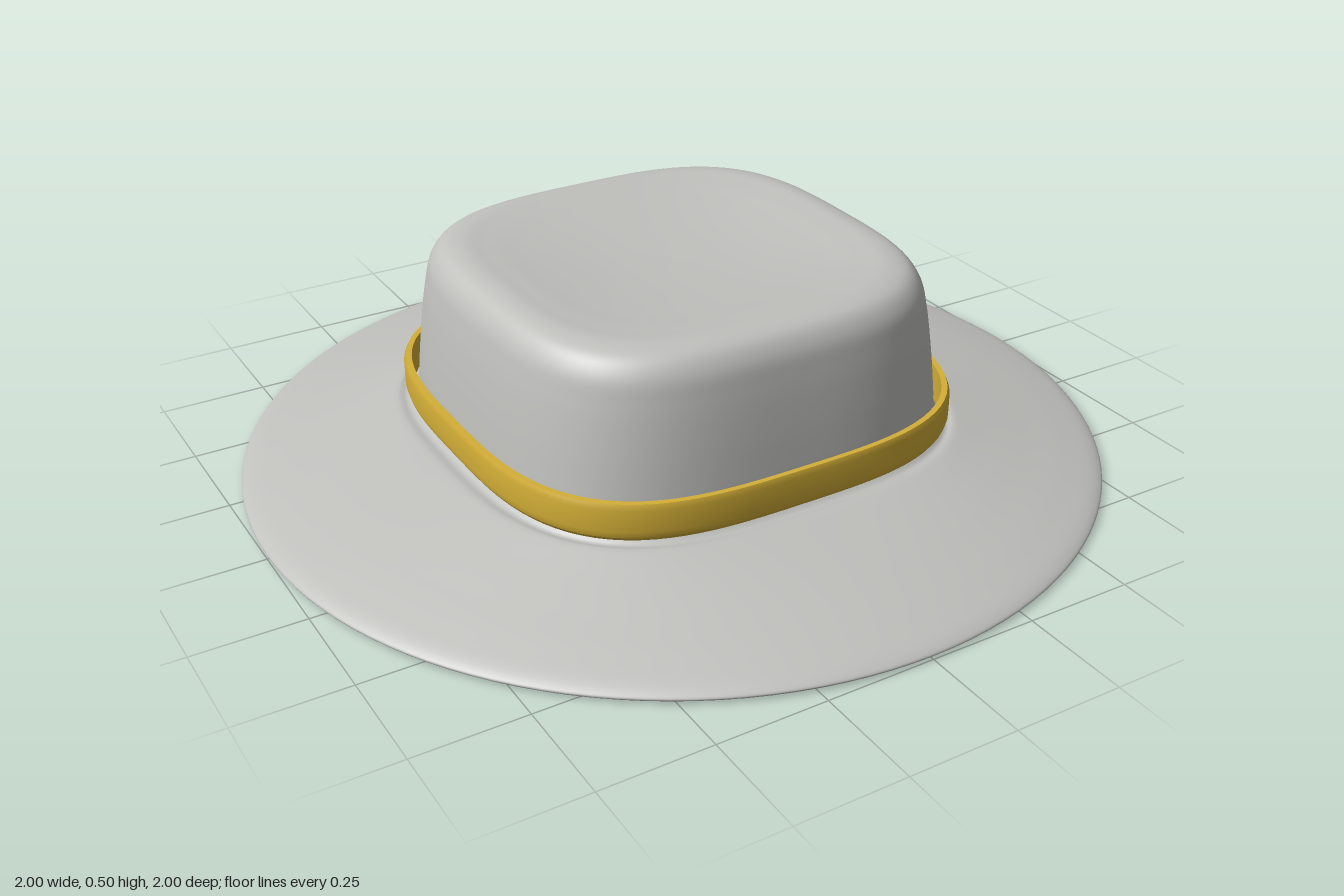
import * as THREE from 'three';

const SIDES = 128;

// Lofts rings [halfWidth, y, squareness]; squareness 2 is a circle, higher is squarer.
function loft(rings) {
  const pos = [], index = [];
  rings.forEach(([half, y, n]) => {
    for (let j = 0; j < SIDES; j++) {
      const t = (j / SIDES) * Math.PI * 2, c = Math.cos(t), s = Math.sin(t);
      const r = half * Math.pow(Math.abs(c) ** n + Math.abs(s) ** n, -1 / n);
      pos.push(r * c, y, r * s);
    }
  });
  for (let i = 0; i < rings.length - 1; i++) {
    for (let j = 0; j < SIDES; j++) {
      const k = (j + 1) % SIDES;
      const a = i * SIDES + j, b = a + SIDES, c = i * SIDES + k, d = c + SIDES;
      index.push(a, c, b, b, c, d);
    }
  }
  const geo = new THREE.BufferGeometry();
  geo.setAttribute('position', new THREE.Float32BufferAttribute(pos, 3));
  geo.setIndex(index);
  geo.computeVertexNormals();
  return geo;
}

// Smooths a coarse profile into many rings
function smooth(points, count) {
  const curve = new THREE.CatmullRomCurve3(points.map(p => new THREE.Vector3(...p)));
  return curve.getPoints(count).map(p => [Math.max(p.x, 0), p.y, p.z]);
}

export function createModel() {
  const felt = new THREE.MeshStandardMaterial({ color: 0xc0c0bd });
  felt.name = 'grey felt';
  const gold = new THREE.MeshStandardMaterial({ color: 0xd4af37 });
  gold.name = 'gold ribbon';

  const hat = new THREE.Group();
  hat.name = 'hat';
  const add = (name, geo, material) => {
    const mesh = new THREE.Mesh(geo, material);
    mesh.name = name;
    hat.add(mesh);
  };

  // Dished top, crown wall, then brim out to its edge
  const outside = [
    [0, 0.472, 2], [0.15, 0.476, 2.4], [0.3, 0.488, 3], [0.38, 0.497, 3.2],
    [0.43, 0.5, 3.2], [0.47, 0.488, 3.2], [0.495, 0.455, 3.2], [0.508, 0.4, 3.2],
    [0.522, 0.3, 3.2], [0.532, 0.2, 3.2], [0.537, 0.145, 3.2], [0.55, 0.124, 3.2],
    [0.6, 0.114, 2.8], [0.7, 0.094, 2.3], [0.82, 0.068, 2.05], [0.92, 0.043, 2],
    [0.985, 0.022, 2], [1, 0.01, 2],
  ];
  // Hollow underside back up to the centre of the crown
  const inside = [
    [0.985, 0, 2], [0.92, 0.019, 2], [0.82, 0.045, 2.05], [0.7, 0.072, 2.3],
    [0.6, 0.092, 2.8], [0.535, 0.104, 3.2], [0.515, 0.135, 3.2], [0.505, 0.3, 3.2],
    [0.488, 0.4, 3.2], [0.475, 0.445, 3.2], [0.45, 0.47, 3.2], [0.4, 0.479, 3.2],
    [0.3, 0.468, 3], [0.15, 0.456, 2.4], [0, 0.452, 2],
  ];
  add('crownAndBrim', loft(smooth([...outside, ...inside], 180)), felt);

  // Ribbon standing slightly clear of the crown; doubled rings keep its rims sharp
  const rim = [[0.548, 0.208], [0.56, 0.208]];
  const band = [
    [0.548, 0.11], rim[0], rim[0], rim[1], rim[1],
    [0.565, 0.195], [0.565, 0.145], [0.56, 0.128], [0.56, 0.128], [0.548, 0.11],
  ];
  add('hatBand', loft(band.map(([half, y]) => [half, y, 3.2])), gold);

  return hat;
}
